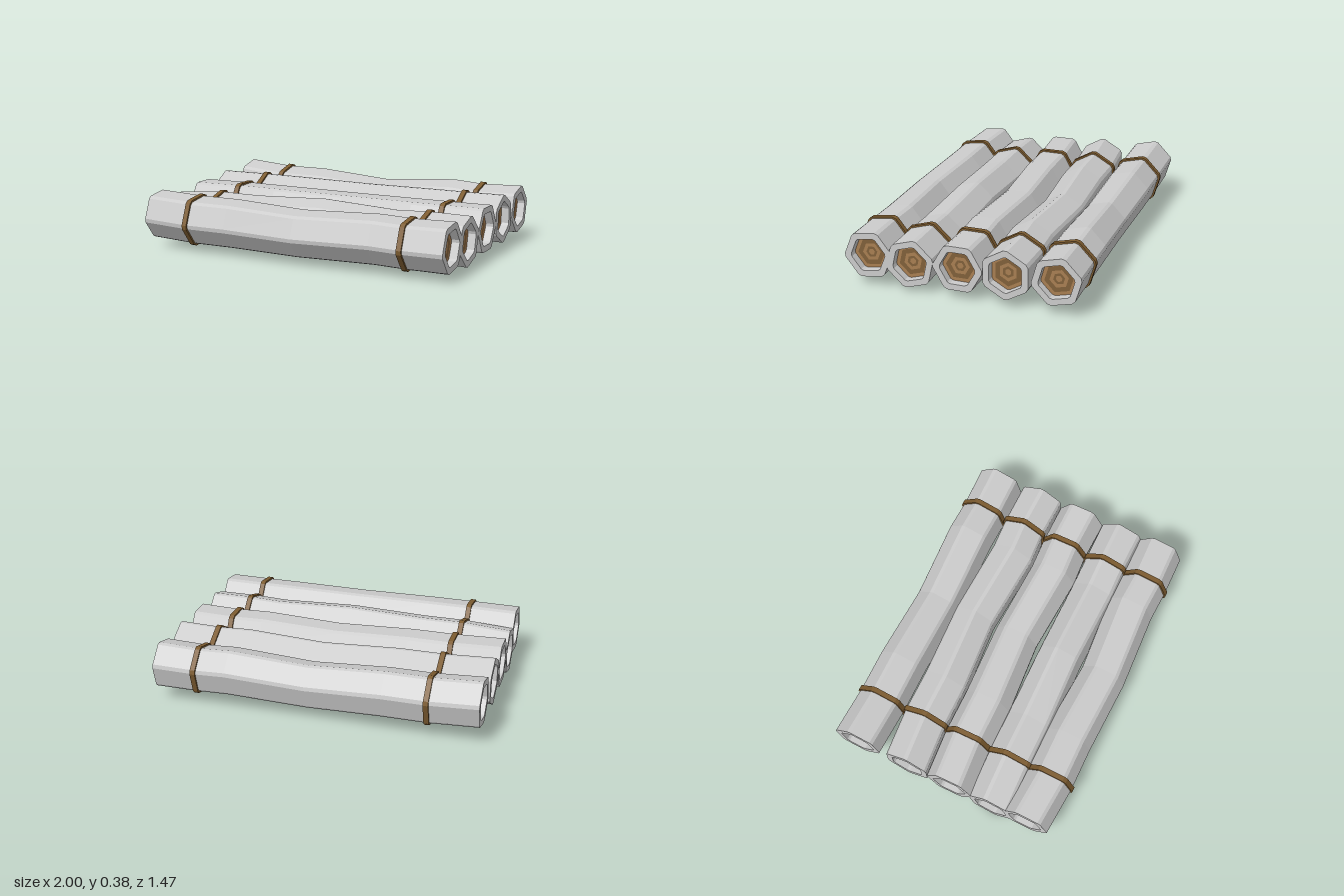
import * as THREE from 'three';

const bark = new THREE.MeshStandardMaterial({ color: 0xcccccc, flatShading: true });
const rope = new THREE.MeshStandardMaterial({ color: 0x7d5c30, flatShading: true });
const lightWood = new THREE.MeshStandardMaterial({ color: 0xa87e52, flatShading: true });
const darkWood = new THREE.MeshStandardMaterial({ color: 0x80603a, flatShading: true });

const RADIUS = 0.156, INNER = 0.113, RECESS = 0.05;

// Bend stations along a log: [x, sideways bend, thickness]
const STATIONS = [
  [-1, 0.027, 1], [-0.69, 0.002, 1], [-0.42, 0.003, 1], [0.05, -0.025, 0.95],
  [0.54, 0.006, 0.99], [0.74, -0.006, 0.98], [1, 0, 1],
];

// Logs from back to front: centre z and y, twist in degrees, bend direction [z, y]
const LOGS = [
  { z: -0.58, y: 0.215, twist: 14, bend: [-0.4, 0.9] },
  { z: -0.28, y: 0.207, twist: 30, bend: [1, 0.1] },
  { z: 0.01, y: 0.2, twist: 0, bend: [0.9, 0] },
  { z: 0.305, y: 0.182, twist: 17, bend: [0.3, -0.95] },
  { z: 0.568, y: 0.2, twist: 8, bend: [-0.9, 0.3] },
];

// Bend and thickness at any x, interpolated between stations
function stationAt(x) {
  let i = 0;
  while (i < STATIONS.length - 2 && x > STATIONS[i + 1][0]) i++;
  const [a, b] = [STATIONS[i], STATIONS[i + 1]];
  const t = THREE.MathUtils.clamp((x - a[0]) / (b[0] - a[0]), 0, 1);
  return { bend: THREE.MathUtils.lerp(a[1], b[1], t), size: THREE.MathUtils.lerp(a[2], b[2], t) };
}

function centreAt(log, x) {
  const { bend } = stationAt(x);
  return new THREE.Vector3(x, log.y + bend * log.bend[1], log.z + bend * log.bend[0]);
}

// Hexagon with small cut corners: 12 points [u, v] for a corner radius of 1
function hexProfile(twist) {
  const points = [], cut = 0.09;
  const corner = (k) => new THREE.Vector2(1, 0)
    .rotateAround(new THREE.Vector2(), THREE.MathUtils.degToRad(twist + 60 * k));
  for (let k = 0; k < 6; k++) {
    points.push(corner(k).lerp(corner(k - 1), cut), corner(k).lerp(corner(k + 1), cut));
  }
  return points;
}

// Skin over sections [x, radius] following the bend of a log
function loft(log, sections) {
  const profile = hexProfile(log.twist), n = profile.length;
  const positions = [], index = [];
  sections.forEach(([x, r], i) => {
    const c = centreAt(log, x);
    profile.forEach((p, j) => {
      positions.push(x, c.y + p.y * r, c.z - p.x * r);
      if (i === 0) return;
      const k = (j + 1) % n, a = (i - 1) * n, b = i * n;
      index.push(a + j, a + k, b + j, a + k, b + k, b + j);
    });
  });
  const geometry = new THREE.BufferGeometry();
  geometry.setAttribute('position', new THREE.Float32BufferAttribute(positions, 3));
  geometry.setIndex(index);
  const flat = geometry.toNonIndexed();
  flat.computeVertexNormals();
  return flat;
}

function addMesh(parent, name, geometry, material) {
  const mesh = new THREE.Mesh(geometry, material);
  mesh.name = name;
  parent.add(mesh);
  return mesh;
}

// Growth rings on the recessed cut face of one end
function addEndGrain(parent, log, side) {
  const radii = [INNER, 0.089, 0.058, 0.036, 0.02, 0];
  for (let i = 0; i < radii.length - 1; i++) {
    const geometry = radii[i + 1] > 0
      ? new THREE.RingGeometry(radii[i + 1], radii[i], 6, 1)
      : new THREE.CircleGeometry(radii[i], 6);
    geometry.rotateZ(side * THREE.MathUtils.degToRad(log.twist));
    geometry.rotateY(side * Math.PI / 2);
    const ring = addMesh(parent, 'growthRing', geometry, i % 2 ? darkWood : lightWood);
    ring.position.copy(centreAt(log, side)).setX(side * (1 - RECESS));
  }
}

export function createModel() {
  const raft = new THREE.Group();
  raft.name = 'logRaft';

  for (const log of LOGS) {
    const group = new THREE.Group();
    group.name = 'log';
    raft.add(group);

    // Bark with a rim and hollow at both ends; the hollow keeps the end's bend
    const outer = STATIONS.map(([x, , size]) => [x, RADIUS * size]);
    addMesh(group, 'bark', loft(log, [[-1, INNER], ...outer, [1, INNER]]), bark);
    for (const side of [-1, 1]) {
      const hollow = loft({ ...log, bend: [0, 0] }, side < 0
        ? [[-1 + RECESS, INNER], [-1, INNER]]
        : [[1, INNER], [1 - RECESS, INNER]]);
      const end = centreAt(log, side);
      hollow.translate(0, end.y - log.y, end.z - log.z);
      addMesh(group, 'endHollow', hollow, bark);
      addEndGrain(group, log, side);
    }

    // Rope bands
    for (const x of [-0.69, 0.74]) {
      const r = RADIUS * stationAt(x).size, w = 0.016;
      addMesh(group, 'ropeBand', loft(log, [
        [x - w, r * 0.97], [x - w, r * 1.08], [x + w, r * 1.08], [x + w, r * 0.97],
      ]), rope);
    }
  }
  return raft;
}
